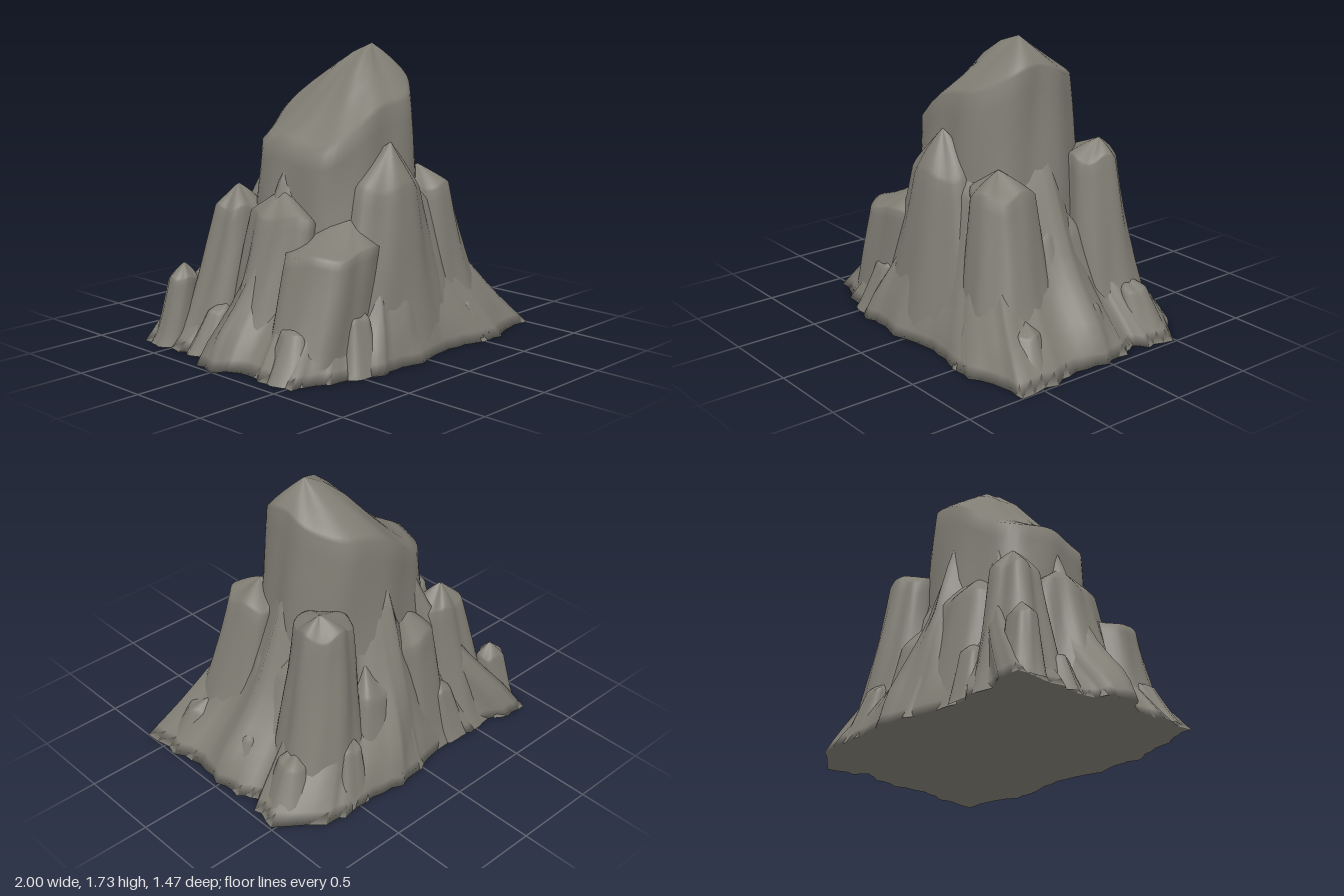
import * as THREE from 'three';

const stone = new THREE.MeshStandardMaterial({ color: 0x807d74 });
stone.name = 'grey stone';

const lerp = THREE.MathUtils.lerp;

// Jagged outline of the ground edge, as x, z pairs
const outline = [
  [1, 0.4], [1, 0.65], [0.85, 0.65], [0.64, 0.73], [0.5, 0.72], [0.3, 0.68], [0.1, 0.68],
  [-0.07, 0.73], [-0.28, 0.7], [-0.38, 0.72], [-0.52, 0.66], [-0.7, 0.62], [-0.76, 0.57], [-0.91, 0.54],
  [-0.93, 0.3], [-0.9, 0.24], [-0.93, 0.07], [-1, 0.01], [-0.98, -0.15], [-0.88, -0.19],
  [-0.86, -0.36], [-0.89, -0.41], [-0.88, -0.73], [-0.74, -0.73], [-0.62, -0.66], [-0.45, -0.68],
  [-0.38, -0.64], [-0.08, -0.67], [0.03, -0.71], [0.2, -0.74], [0.4, -0.69], [0.63, -0.71],
  [0.75, -0.68], [0.99, -0.48], [0.97, -0.31], [0.89, -0.25], [0.96, -0.15], [0.98, 0.02], [0.94, 0.22],
];

// Ridged noise around an axis that drifts slowly with height
function flute(a, y, seed) {
  const s = seed * 1.73;
  return Math.abs(Math.sin(a * 2.5 + s + y * 0.9)) * 0.5
    + Math.sin(a * 5 + s * 2.1 - y * 1.7) * 0.35
    + Math.sin(a * 9 + s * 3.7 + y * 3.1) * 0.25
    + Math.sin(a * 3 + s + y * 8) * 0.2 - 0.3;
}

// Skin of equal-length closed rings, listed from the bottom up
function skin(rings) {
  const n = rings[0].length;
  const index = [];
  for (let j = 0; j < rings.length - 1; j++) {
    for (let i = 0; i < n; i++) {
      const a = j * n + i, b = j * n + (i + 1) % n;
      index.push(a, a + n, b, b, a + n, b + n);
    }
  }
  const g = new THREE.BufferGeometry();
  g.setAttribute('position', new THREE.Float32BufferAttribute(rings.flat(2), 3));
  g.setIndex(index);
  g.computeVertexNormals();
  return g;
}

// Tapering rock: foot and rim are [x, z, rx, rz], apex is [x, y, z], rimY the
// shoulder height, tilt its slope along x, crown the curve of the top, sag a dip on its -x side
function rock({ foot, rim, rimY, apex, seed, tilt = 0, power = 2.6, amp = 0.13, bulge = 0.7, crown = 0.85, sag = 0, n = 44 }) {
  const rings = [];
  const ring = (point) => rings.push(Array.from({ length: n }, (_, i) => {
    const a = i / n * Math.PI * 2;
    const c = Math.cos(a), s = Math.sin(a);
    const k = Math.pow(Math.abs(c) ** power + Math.abs(s) ** power, -1 / power);
    const rimHeight = rimY + tilt * c * k * rim[2] + 0.025 * rimY * Math.sin(a * 4 + seed);
    return point(a, c * k, s * k, rimHeight);
  }));
  const wall = (a, ux, uz, t) => {
    const f = Math.pow(t, bulge);
    const k = 1 + amp * flute(a, t * rimY, seed);
    return [
      lerp(foot[0], rim[0], f) + ux * lerp(foot[2], rim[2], f) * k,
      lerp(foot[1], rim[1], f) + uz * lerp(foot[3], rim[3], f) * k,
    ];
  };
  for (const t of [0, 0.12, 0.25, 0.4, 0.55, 0.7, 0.82, 0.92, 1]) {
    ring((a, ux, uz, h) => {
      const [x, z] = wall(a, ux, uz, t);
      return [x, t * h, z];
    });
  }
  // Crown closing to the apex
  for (const u of [0.08, 0.25, 0.45, 0.65, 0.82, 1]) {
    ring((a, ux, uz, h) => {
      const [x, z] = wall(a, ux, uz, 1);
      const rise = Math.pow(u, crown) + 0.05 * Math.sin(a * 3 + seed) * Math.sin(u * Math.PI)
        - sag * Math.max(0, -ux) * Math.sin(u * Math.PI * 2);
      return [lerp(x, apex[0], u), lerp(h, apex[1], rise), lerp(z, apex[2], u)];
    });
  }
  return skin(rings);
}

// Body of the mountain rising from the outline, closed underneath
function body() {
  const base = [];
  outline.forEach((p, i) => {
    const q = outline[(i + 1) % outline.length];
    for (let k = 0; k < 3; k++) {
      const chip = 1 - (k ? 0.012 * (1 + Math.sin(i * 2.4 + k * 2)) : 0);
      base.push([lerp(p[0], q[0], k / 3) * chip, lerp(p[1], q[1], k / 3) * chip]);
    }
  });
  // Height, then scale of the outline in x and z
  const levels = [[0, 0, 0], [0, 1, 1], [0.06, 0.965, 0.985], [0.13, 0.92, 0.965],
    [0.21, 0.86, 0.935], [0.32, 0.78, 0.89], [0.42, 0.715, 0.85], [0.54, 0.65, 0.8], [0.68, 0.59, 0.74],
    [0.82, 0.535, 0.69], [0.96, 0.485, 0.62], [1.08, 0.43, 0.55], [1.15, 0.35, 0.44], [1.15, 0, 0]];
  return skin(levels.map(([y, kx, kz]) => base.map(([x, z]) => {
    const a = Math.atan2(z, x);
    const k = 1 + Math.min(1, y * 5) * 0.075 * (1 - y * 0.6) * flute(a * 2, y, 4);
    const round = 1 - 0.3 * Math.min(1, y * 1.1) * Math.abs(Math.sin(2 * a));
    return [x * kx * k * round, y * (1 + 0.04 * Math.sin(a * 7)), z * kz * k * round];
  })));
}

const rocks = {
  tower: { foot: [0, 0, 0.56, 0.49], rim: [-0.02, 0.01, 0.41, 0.365], rimY: 1.36, apex: [0.23, 1.73, 0.05], tilt: 0.45, power: 2.8, amp: 0.06, crown: 0.88, sag: 0.08, seed: 1, n: 72 },
  frontSpur: { foot: [-0.02, 0.4, 0.52, 0.27], rim: [-0.02, 0.36, 0.22, 0.18], rimY: 0.95, apex: [0, 1.21, 0.41], amp: 0.08, bulge: 0.85, seed: 2 },
  frontFill: { foot: [0.25, 0.38, 0.4, 0.28], rim: [0.2, 0.28, 0.2, 0.17], rimY: 0.85, apex: [0.2, 1.12, 0.24], amp: 0.08, bulge: 0.8, seed: 14 },
  frontLeftShoulder: { foot: [-0.54, 0.34, 0.32, 0.25], rim: [-0.4, 0.33, 0.25, 0.23], rimY: 0.65, apex: [-0.25, 0.84, 0.33], tilt: 0.06, crown: 1.2, amp: 0.09, seed: 3 },
  sideShoulder: { foot: [-0.5, 0, 0.38, 0.32], rim: [-0.42, 0.02, 0.17, 0.22], rimY: 0.8, apex: [-0.45, 0.95, 0], seed: 5 },
  backSpur: { foot: [-0.57, -0.43, 0.28, 0.24], rim: [-0.46, -0.35, 0.13, 0.12], rimY: 0.8, apex: [-0.46, 0.94, -0.36], amp: 0.09, seed: 6 },
  cornerRock: { foot: [-0.77, -0.6, 0.13, 0.12], rim: [-0.73, -0.55, 0.08, 0.07], rimY: 0.39, apex: [-0.72, 0.48, -0.55], seed: 7, n: 28 },
  tallBackRock: { foot: [0.52, -0.36, 0.31, 0.28], rim: [0.43, -0.31, 0.15, 0.15], rimY: 1.02, apex: [0.48, 1.13, -0.34], amp: 0.09, seed: 8 },
  frontRightRock: { foot: [0.54, 0.36, 0.32, 0.29], rim: [0.38, 0.3, 0.16, 0.17], rimY: 0.91, apex: [0.36, 1.03, 0.3], amp: 0.08, seed: 9 },
  backRidge: { foot: [-0.12, -0.43, 0.34, 0.23], rim: [-0.14, -0.36, 0.2, 0.14], rimY: 0.72, apex: [-0.14, 0.9, -0.32], amp: 0.08, seed: 10 },
  lowBackRock: { foot: [0.2, -0.48, 0.26, 0.22], rim: [0.18, -0.42, 0.14, 0.12], rimY: 0.52, apex: [0.18, 0.7, -0.38], amp: 0.09, seed: 11 },
  sideRidge: { foot: [0.62, 0, 0.28, 0.26], rim: [0.45, 0, 0.12, 0.18], rimY: 0.62, apex: [0.4, 0.85, 0], amp: 0.08, seed: 12 },
};

// Low ribs along the foot: x, z, height, radius
const ribs = [
  [0.54, 0.61, 0.27, 0.11], [0.83, 0.46, 0.28, 0.13], [0.8, -0.02, 0.33, 0.14], [0.8, -0.42, 0.34, 0.15],
  [0.5, -0.58, 0.38, 0.12], [0.02, -0.59, 0.36, 0.11], [-0.35, -0.56, 0.4, 0.11], [-0.76, -0.3, 0.3, 0.12],
  [-0.84, -0.06, 0.25, 0.13], [-0.78, 0.4, 0.3, 0.14], [-0.45, 0.56, 0.36, 0.13],
];

export function createModel() {
  const mountain = new THREE.Group();
  mountain.name = 'mountain';
  const add = (name, geometry) => {
    const mesh = new THREE.Mesh(geometry, stone);
    mesh.name = name;
    mountain.add(mesh);
  };

  add('body', body());
  for (const [name, spec] of Object.entries(rocks)) add(name, rock(spec));

  // Ribs lean into the body
  ribs.forEach(([x, z, h, r], i) => add('rib' + (i + 1), rock({
    foot: [x, z, r, r], rim: [x * 0.9, z * 0.92, r * 0.6, r * 0.55], rimY: h * 0.8,
    apex: [x * 0.84, h, z * 0.87], bulge: 0.9, seed: 20 + i, n: 24,
  })));
  return mountain;
}
